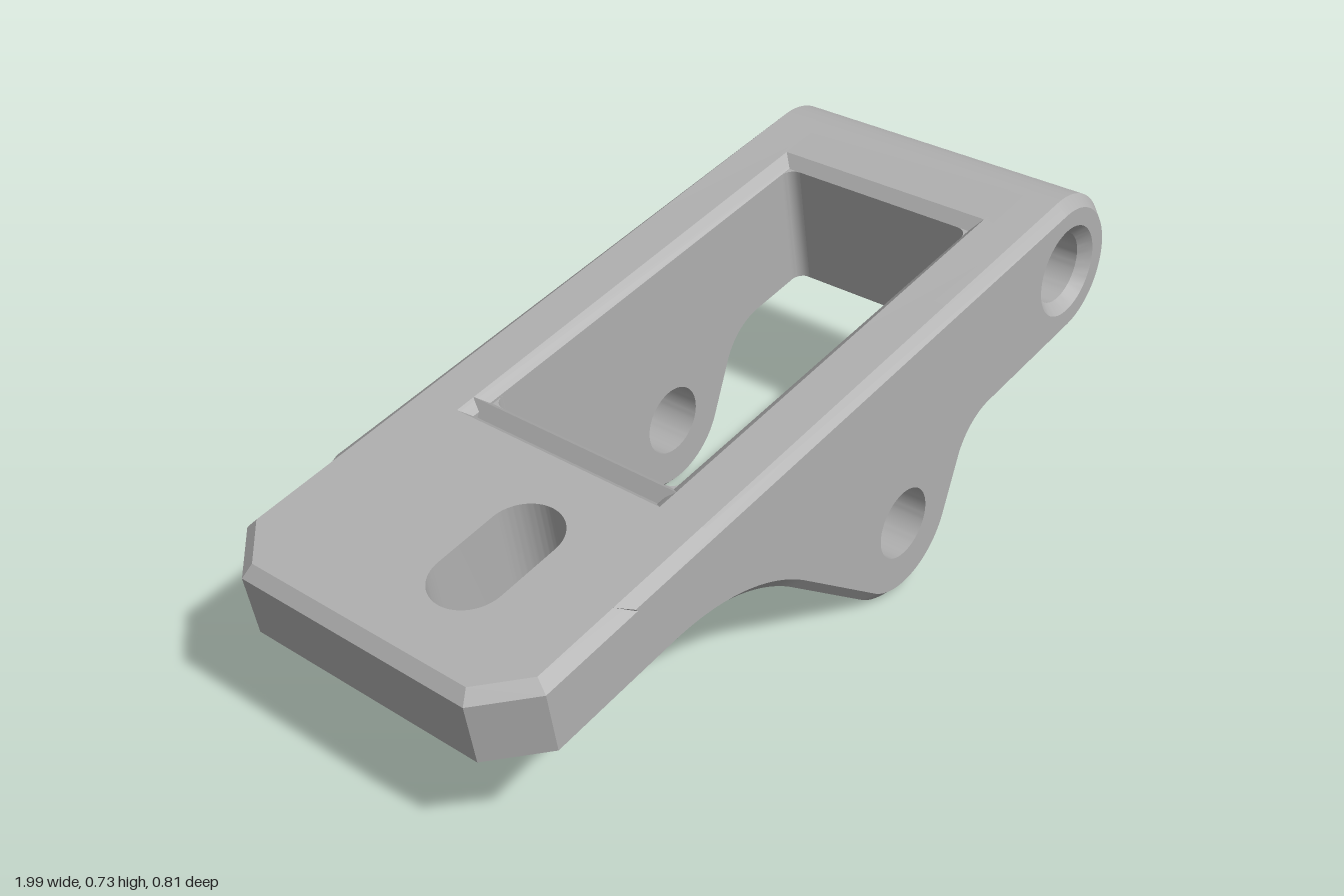
import * as THREE from 'three';
import { toCreasedNormals } from 'three/addons/utils/BufferGeometryUtils.js';

const CH = 0.025;          // chamfer on all outer edges
const HALF = 0.405;        // half width of the lever
const WIN = 0.25;          // half width of the window
const TOP = 0.175;         // top plane, measured from the pivot axis
const TAIL_BOTTOM = -0.02;
const HOLE = 0.083;
const LUG = { u: -0.66, v: -0.259, r: 0.19 };
const ARCH = { u: -1.387, v: -0.55, r: 0.53 };
const rad = THREE.MathUtils.degToRad;

const steel = new THREE.MeshStandardMaterial({ color: 0xb0b0b0 });
steel.name = 'grey metal';

function polygon(points) {
  return new THREE.Shape(points.map(([x, y]) => new THREE.Vector2(x, y)));
}

function circle(u, v, r) {
  return new THREE.Path().absarc(u, v, r, 0, Math.PI * 2, true);
}

// Extrusion from 'from' to 'to', optionally with chamfered rims
function extrude(shape, from, to, chamfer = 0) {
  const geo = new THREE.ExtrudeGeometry(shape, {
    depth: to - from - 2 * chamfer, curveSegments: 32,
    bevelEnabled: chamfer > 0, bevelSegments: 1,
    bevelSize: chamfer, bevelThickness: chamfer, bevelOffset: -chamfer,
  });
  geo.translate(0, 0, from + chamfer);
  return toCreasedNormals(geo, 0.5);
}

// Same, but the shape is a plan (u, -z) raised along v
function extrudeUp(shape, from, to, chamfer = 0) {
  return extrude(shape, from, to, chamfer).rotateX(-Math.PI / 2);
}

export function createModel() {
  const model = new THREE.Group();
  model.name = 'lever bracket';
  // The lever is built level around its pivot axis, then tilted
  const lever = new THREE.Group();
  lever.name = 'lever';
  lever.position.set(0.82, 0.565, 0);
  lever.rotation.z = rad(10);
  model.add(lever);

  const add = (name, geo) => {
    const mesh = new THREE.Mesh(geo, steel);
    mesh.name = name;
    lever.add(mesh);
    return mesh;
  };

  // Side plate profile: tail, arch, lug, fillet and pivot end
  const profile = new THREE.Shape();
  profile.moveTo(-1.5, TAIL_BOTTOM);
  profile.absarc(ARCH.u, ARCH.v, ARCH.r, rad(90), rad(45), true);
  profile.absarc(LUG.u, LUG.v, LUG.r, rad(225), rad(330), false);
  profile.absarc(-0.323, -0.295, 0.12, rad(150), rad(90), true);
  profile.absarc(0, 0, TOP, rad(-90), rad(90), false);
  profile.lineTo(-1.5, TOP);
  profile.holes.push(circle(0, 0, HOLE), circle(LUG.u, LUG.v, 0.1));
  const plateGeo = extrude(profile, WIN, HALF, CH);

  // Straight-edged lining of the lug hole
  const ring = new THREE.Shape().absarc(LUG.u, LUG.v, 0.135, 0, Math.PI * 2, false);
  ring.holes.push(circle(LUG.u, LUG.v, HOLE));
  const ringGeo = extrude(ring, WIN, HALF);

  for (const [side, shift] of [['left', 0], ['right', -(WIN + HALF)]]) {
    add(side + ' side plate', plateGeo).position.z = shift;
    add(side + ' lug hole lining', ringGeo).position.z = shift;
  }

  // Pivot bar across the window's end
  const bar = new THREE.Shape();
  bar.moveTo(-0.157, -TOP + CH);
  bar.lineTo(-0.157 + CH, -TOP);
  bar.absarc(0, 0, TOP, rad(-90), rad(90), false);
  bar.lineTo(-0.157 + CH, TOP);
  bar.lineTo(-0.157, TOP - CH);
  bar.closePath();
  bar.holes.push(circle(0, 0, HOLE));
  add('pivot bar', extrude(bar, -0.3, 0.3));

  // Bridge between the tail and the window, with the arch below
  const archAngle = u => Math.acos((u - ARCH.u) / ARCH.r);
  const bridge = new THREE.Shape();
  bridge.moveTo(-1.345, TOP);
  bridge.absarc(ARCH.u, ARCH.v, ARCH.r, archAngle(-1.345), archAngle(-1.195), true);
  bridge.lineTo(-1.17, -0.033);
  bridge.lineTo(-1.17, TOP - CH);
  bridge.lineTo(-1.195, TOP);
  bridge.closePath();
  add('window bridge', extrude(bridge, -0.3, 0.3));

  // Tail with cut corners, open where the slotted plate sits
  const tail = polygon([
    [-1.82, -0.3], [-1.715, -HALF], [-1.22, -HALF],
    [-1.22, HALF], [-1.715, HALF], [-1.82, 0.3],
  ]);
  tail.holes.push(polygon([[-1.72, -0.21], [-1.72, 0.21], [-1.32, 0.21], [-1.32, -0.21]]));
  add('tail', extrudeUp(tail, TAIL_BOTTOM, TOP, CH));

  // Slotted plate filling the tail
  const slotPlate = polygon([[-1.76, -0.25], [-1.28, -0.25], [-1.28, 0.25], [-1.76, 0.25]]);
  const slot = new THREE.Path();
  slot.absarc(-1.675 + HOLE, -0.1, HOLE, rad(270), rad(90), true);
  slot.absarc(-1.36 - HOLE, -0.1, HOLE, rad(90), rad(-90), true);
  slot.closePath();
  slotPlate.holes.push(slot);
  add('slotted plate', extrudeUp(slotPlate, TAIL_BOTTOM, TOP));

  // Rounded inner corners of the window
  const r = 0.03;
  for (const [u, su, bottom] of [[-1.17, 1, -0.033], [-0.157, -1, -TOP + CH]]) {
    for (const s of [1, -1]) {
      const y = s * WIN;
      const points = [[u, y]];
      for (let i = 0; i <= 6; i++) {
        const a = (i / 6) * Math.PI / 2;
        points.push([u + su * r * (1 - Math.sin(a)), y - s * r * (1 - Math.cos(a))]);
      }
      add('window corner', extrudeUp(polygon(points), bottom, TOP - CH));
    }
  }
  return model;
}
